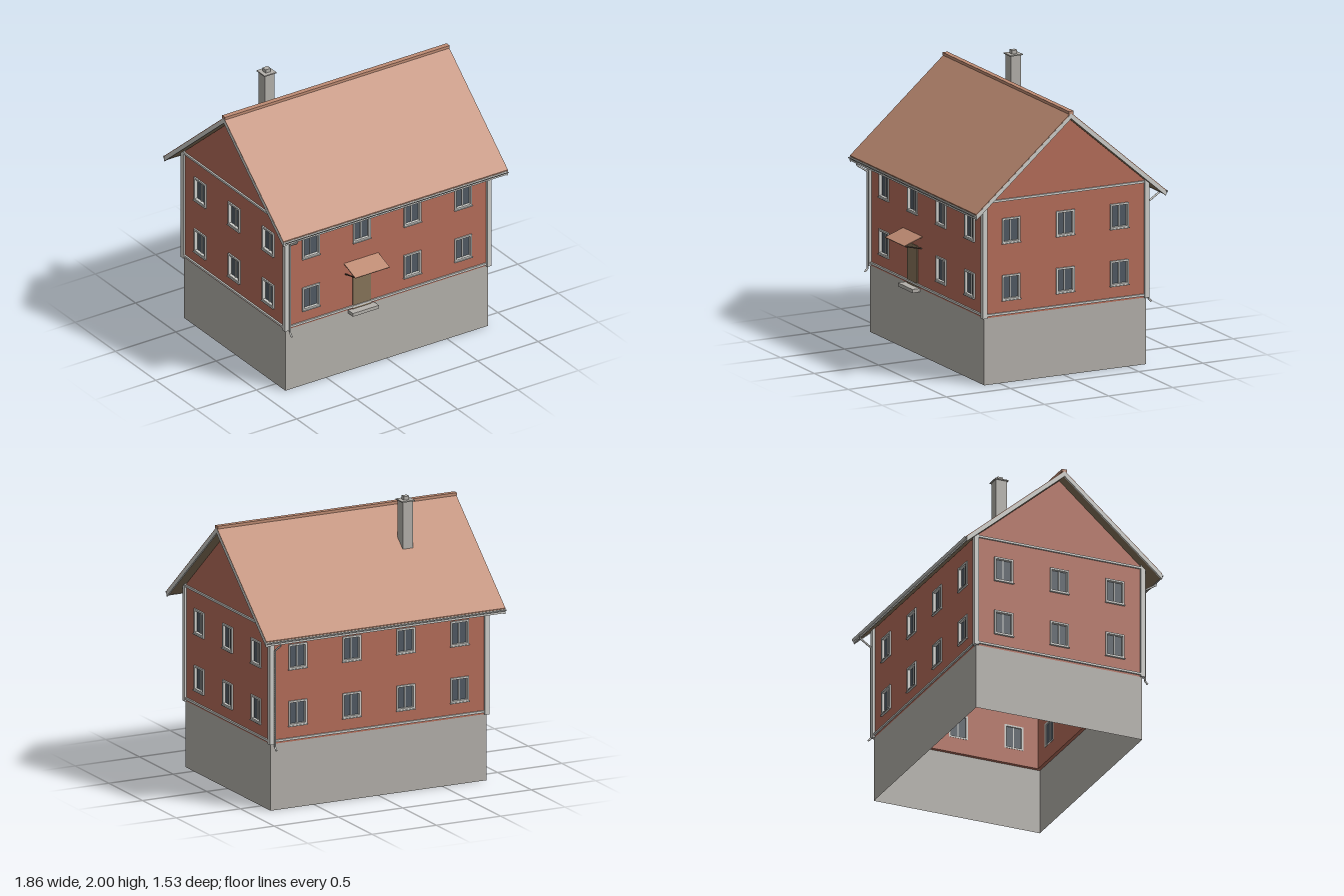
import * as THREE from 'three';

const mat = (name, color, side = THREE.FrontSide) => {
  const m = new THREE.MeshStandardMaterial({ color, side });
  m.name = name;
  return m;
};

export function createModel() {
  const brick = mat('red wall', 0xb56d5a);
  const stone = mat('grey plinth', 0xb4b1ab, THREE.DoubleSide);
  const tile = mat('roof tile', 0xbe8b73, THREE.DoubleSide);
  const white = mat('pale trim', 0xd0d0cc, THREE.DoubleSide);
  const glass = mat('window glass', 0x515a63);
  const wood = mat('brown wood', 0x87745a);
  const dark = mat('dark timber', 0x4f4034);

  const model = new THREE.Group();
  const house = new THREE.Group();
  house.name = 'house';
  house.position.z = -0.01;
  model.add(house);

  const add = (parent, name, geo, material, x = 0, y = 0, z = 0) => {
    const mesh = new THREE.Mesh(geo, material);
    mesh.name = name;
    mesh.position.set(x, y, z);
    parent.add(mesh);
    return mesh;
  };
  // box given by its low and high limits on each axis
  const box = (parent, name, material, [x0, x1], [y0, y1], [z0, z1]) =>
    add(parent, name, new THREE.BoxGeometry(x1 - x0, y1 - y0, z1 - z0), material,
      (x0 + x1) / 2, (y0 + y1) / 2, (z0 + z1) / 2);
  const polygon = (pts, Type = THREE.Shape) => new Type(pts.map(p => new THREE.Vector2(...p)));
  const rect = (x, y, w, h, Type) => polygon(
    [[x - w / 2, y - h / 2], [x + w / 2, y - h / 2], [x + w / 2, y + h / 2], [x - w / 2, y + h / 2]], Type);
  const extrude = (shape, depth) => new THREE.ExtrudeGeometry(shape, { depth, bevelEnabled: false });
  const tube = (pts, r, steps = 24) => {
    const path = new THREE.CurvePath();
    const v = pts.map(p => new THREE.Vector3(...p));
    for (let i = 1; i < v.length; i++) path.add(new THREE.LineCurve3(v[i - 1], v[i]));
    return new THREE.TubeGeometry(path, steps, r, 8);
  };

  const W = 0.84, D = 0.63, BASE = 0.475, EAVE = 1.304, PEAK = 1.845;
  const WALL = 0.025, WIN_W = 0.142, WIN_H = 0.178;
  const ROWS = [0.677, 1.082];

  // frame, panes, mullion and sill of one window, on the wall face z = 0
  const addWindow = (parent, x, y) => {
    const g = new THREE.Group();
    g.name = 'window';
    g.position.set(x, y, 0);
    parent.add(g);
    const frame = rect(0, 0, WIN_W, WIN_H);
    frame.holes.push(rect(0, 0, WIN_W - 0.026, WIN_H - 0.026, THREE.Path));
    add(g, 'windowFrame', extrude(frame, WALL + 0.012), white, 0, 0, -WALL - 0.002);
    box(g, 'windowGlass', glass, [-0.06, 0.06], [-0.078, 0.078], [-0.018, -0.012]);
    box(g, 'windowMullion', white, [-0.004, 0.004], [-0.078, 0.078], [-0.02, -0.006]);
    box(g, 'windowSill', white, [-0.074, 0.074], [-0.094, -0.088], [0, 0.016]);
  };

  // one outside wall with its window openings
  const addWall = (name, outline, windows, half, distance, turn) => {
    const g = new THREE.Group();
    g.name = name;
    const shape = polygon(outline);
    windows.forEach(([x, y]) => shape.holes.push(rect(x, y, WIN_W - 0.004, WIN_H - 0.004, THREE.Path)));
    add(g, 'wallPanel', extrude(shape, WALL), brick, 0, 0, -WALL);
    windows.forEach(([x, y]) => addWindow(g, x, y));
    box(g, 'lowerBand', white, [-half, half], [0.488, 0.503], [-0.002, 0.012]);
    // plinth below the wall, open underneath
    add(g, 'plinth', new THREE.PlaneGeometry(half * 2, BASE), stone, 0, BASE / 2, 0);
    const holder = new THREE.Group();
    holder.name = name + 'Side';
    holder.rotation.y = turn;
    g.position.z = distance;
    holder.add(g);
    house.add(holder);
    return g;
  };

  const cols = [-0.63, -0.21, 0.21, 0.63];
  const longWall = [[-W, BASE], [W, BASE], [W, EAVE], [-W, EAVE]];
  const gable = [[-D, BASE], [D, BASE], [D, EAVE], [0, PEAK], [-D, EAVE]];
  const grid = xs => ROWS.flatMap(y => xs.map(x => [x, y]));
  const front = addWall('frontWall', longWall, grid(cols).filter(([x, y]) => !(x === -0.21 && y < 1)), W, D, 0);
  addWall('backWall', longWall, grid(cols), W, D, Math.PI);
  for (const s of [1, -1]) {
    const side = addWall(s > 0 ? 'leftGable' : 'rightGable', gable, grid([-0.422, 0, 0.422]), D, W, s * Math.PI / 2);
    box(side, 'upperBand', white, [-D, D], [1.293, 1.308], [-0.002, 0.012]);
  }

  // corner boards
  for (const sx of [1, -1]) for (const sz of [1, -1])
    add(house, 'cornerBoard', new THREE.BoxGeometry(0.035, 0.845, 0.035), white, sx * 0.8375, 0.8975, sz * 0.6315);

  // door, step and canopy
  box(front, 'door', wood, [-0.285, -0.135], [BASE, 0.77], [-WALL - 0.004, 0.006]);
  box(front, 'doorStep', stone, [-0.32, -0.105], [0.45, 0.475], [0, 0.06]);
  const canopy = add(front, 'canopy', new THREE.BoxGeometry(0.285, 0.006, 0.15), tile, -0.2125, 0.824, 0.07);
  canopy.rotation.x = Math.atan2(0.05, 0.14);
  for (const x of [-0.342, -0.083])
    add(front, 'canopyBracket', tube([[x, 0.764, 0], [x, 0.796, 0.135]], 0.005, 1), dark);

  // roof layers: chevrons running along x
  const E = 0.74, DROP = 0.637;
  const chevron = (name, material, top, bottom, x0, x1) => {
    const shape = polygon([[-E, bottom - DROP], [0, bottom], [E, bottom - DROP],
      [E, top - DROP], [0, top], [-E, top - DROP]]);
    add(house, name, extrude(shape, x1 - x0).rotateY(-Math.PI / 2), material, x1, 0, 0);
  };
  chevron('roofTiles', tile, 1.885, 1.878, -0.93, 0.93);
  chevron('roofSoffit', wood, 1.877, 1.848, -0.918, 0.918);
  chevron('bargeBoard', white, 1.878, 1.842, 0.918, 0.931);
  chevron('bargeBoard', white, 1.878, 1.842, -0.931, -0.918);
  box(house, 'ridgeCap', tile, [-0.93, 0.93], [1.875, 1.895], [-0.02, 0.018]);

  // eaves: fascia, gutter and downpipe, turned about for the back
  for (const turn of [0, Math.PI]) {
    const eaves = new THREE.Group();
    eaves.name = 'eaves';
    eaves.rotation.y = turn;
    house.add(eaves);
    box(eaves, 'fascia', white, [-0.93, 0.93], [1.212, 1.24], [0.734, 0.742]);
    const gutter = new THREE.CylinderGeometry(0.014, 0.014, 1.86, 10, 1, true, -Math.PI / 2, Math.PI);
    gutter.rotateX(Math.PI / 2).rotateY(Math.PI / 2);
    // turn the open half upward
    gutter.computeBoundingBox();
    if (gutter.boundingBox.max.y > 0.007) gutter.rotateX(Math.PI);
    add(eaves, 'gutter', gutter, white, 0, 1.24, 0.742);
    add(eaves, 'downpipe', tube([[-0.82, 1.232, 0.744], [-0.82, 1.205, 0.744], [-0.82, 1.15, 0.66],
      [-0.82, 0.46, 0.66], [-0.82, 0.438, 0.682]], 0.007, 60), white);
  }

  // chimney
  box(house, 'chimneyStack', stone, [-0.445, -0.365], [1.6, 1.966], [-0.295, -0.215]);
  box(house, 'chimneyCap', stone, [-0.454, -0.356], [1.966, 1.974], [-0.304, -0.206]);
  box(house, 'chimneyPot', stone, [-0.425, -0.385], [1.974, 2.0], [-0.275, -0.235]);

  return model;
}
